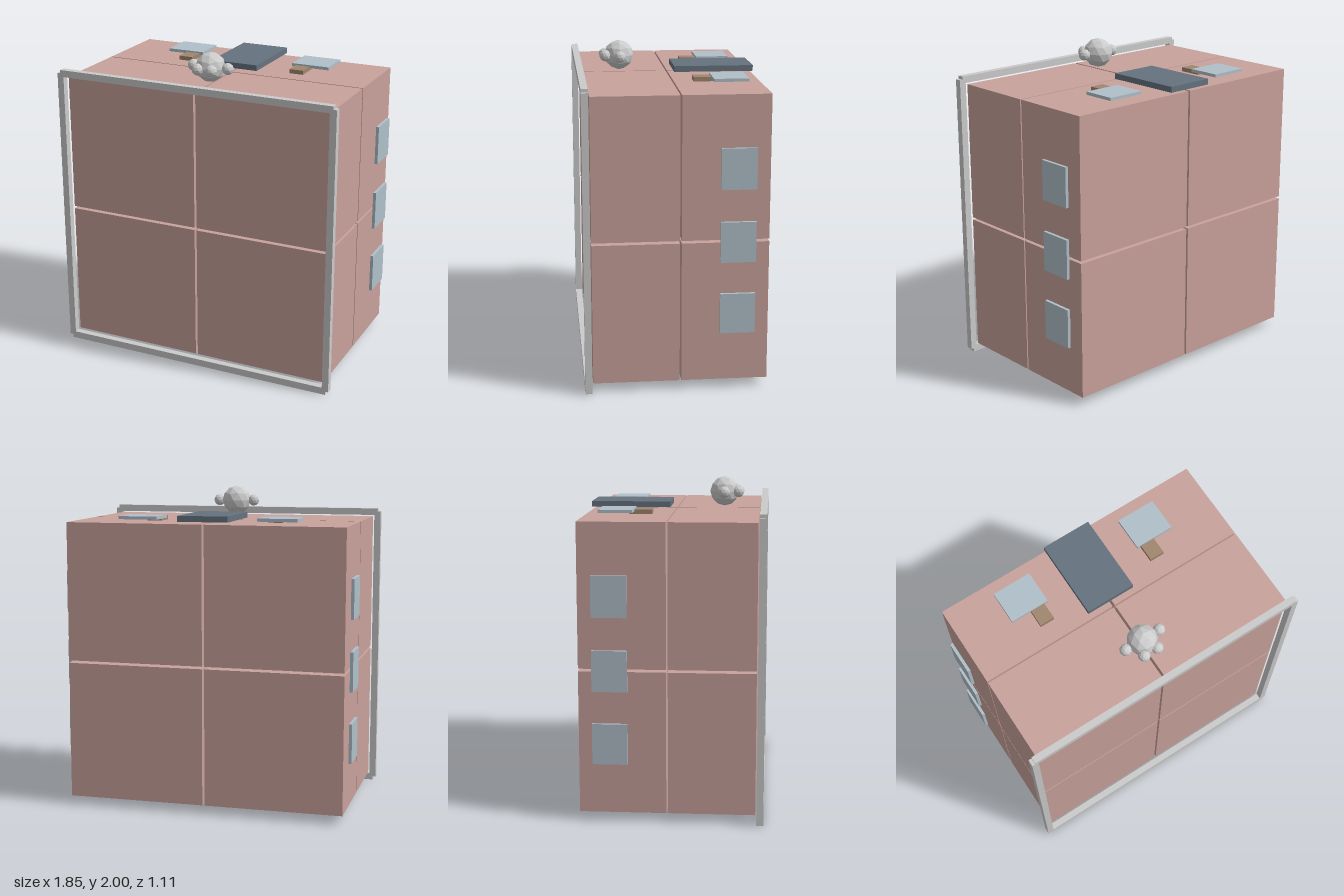
import * as THREE from 'three';

const mat = (color) => new THREE.MeshStandardMaterial({ color, flatShading: true });

export function createModel() {
  const model = new THREE.Group();
  const pink = mat(0xc9a29c), grey = mat(0xcccccc), pale = mat(0xb0c0c9);
  const slate = mat(0x65737f), brown = mat(0xa0866e);

  // Box given by its limits on each axis
  function box(name, material, [x0, x1], [y0, y1], [z0, z1]) {
    const mesh = new THREE.Mesh(new THREE.BoxGeometry(x1 - x0, y1 - y0, z1 - z0), material);
    mesh.position.set((x0 + x1) / 2, (y0 + y1) / 2, (z0 + z1) / 2);
    mesh.name = name;
    model.add(mesh);
  }
  const mirrored = (side, a, b) => (side > 0 ? [a, b] : [-b, -a]);

  // Eight body blocks separated by narrow gaps
  for (const side of [-1, 1])
    for (const y of [[0.055, 0.917], [0.933, 1.8]])
      for (const z of [[-0.547, -0.027], [-0.017, 0.504]])
        box('bodyBlock', pink, mirrored(side, 0.007, 0.874), y, z);

  // Front frame: rails and posts overlapping at the corners
  const frameZ = [0.511, 0.553];
  box('bottomRail', grey, [-0.903, 0.903], [0, 0.045], frameZ);
  box('topRail', grey, [-0.903, 0.903], [1.807, 1.85], frameZ);
  for (const side of [-1, 1])
    box('framePost', grey, mirrored(side, 0.881, 0.923), [0.023, 1.83], frameZ);

  // Side panels and the two panels on the roof
  for (const side of [-1, 1]) {
    for (const y of [0.485, 0.926, 1.368])
      box('sidePanel', pale, mirrored(side, 0.892, 0.911), [y - 0.123, y + 0.123], [-0.463, -0.253]);
    box('roofPanel', pale, mirrored(side, 0.317, 0.563), [1.818, 1.837], [-0.463, -0.253]);
  }

  // Roof hatch and the small blocks beside and beneath it
  box('roofHatch', slate, [-0.157, 0.157], [1.815, 1.851], [-0.552, -0.058]);
  for (const x of [-0.388, 0, 0.388])
    box('roofBlock', brown, [x - 0.046, x + 0.046], [1.801, 1.827], [-0.288, -0.146]);

  // Faceted ball with four smaller balls around its front half
  const ball = new THREE.IcosahedronGeometry(1, 1);
  ball.rotateZ(-Math.atan(2 / (1 + Math.sqrt(5)))); // put a vertex on top
  const cluster = new THREE.Group();
  cluster.name = 'ballCluster';
  cluster.position.set(0, 1.907, 0.278);
  model.add(cluster);
  function addBall(name, r, x, z) {
    const mesh = new THREE.Mesh(ball, grey);
    mesh.scale.setScalar(r);
    mesh.position.set(x, 0, z);
    mesh.name = name;
    cluster.add(mesh);
  }
  addBall('largeBall', 0.093, 0, 0);
  for (const side of [-1, 1]) {
    addBall('sideBall', 0.037, side * 0.115, 0);
    addBall('frontBall', 0.037, side * 0.045, 0.088);
  }
  return model;
}
